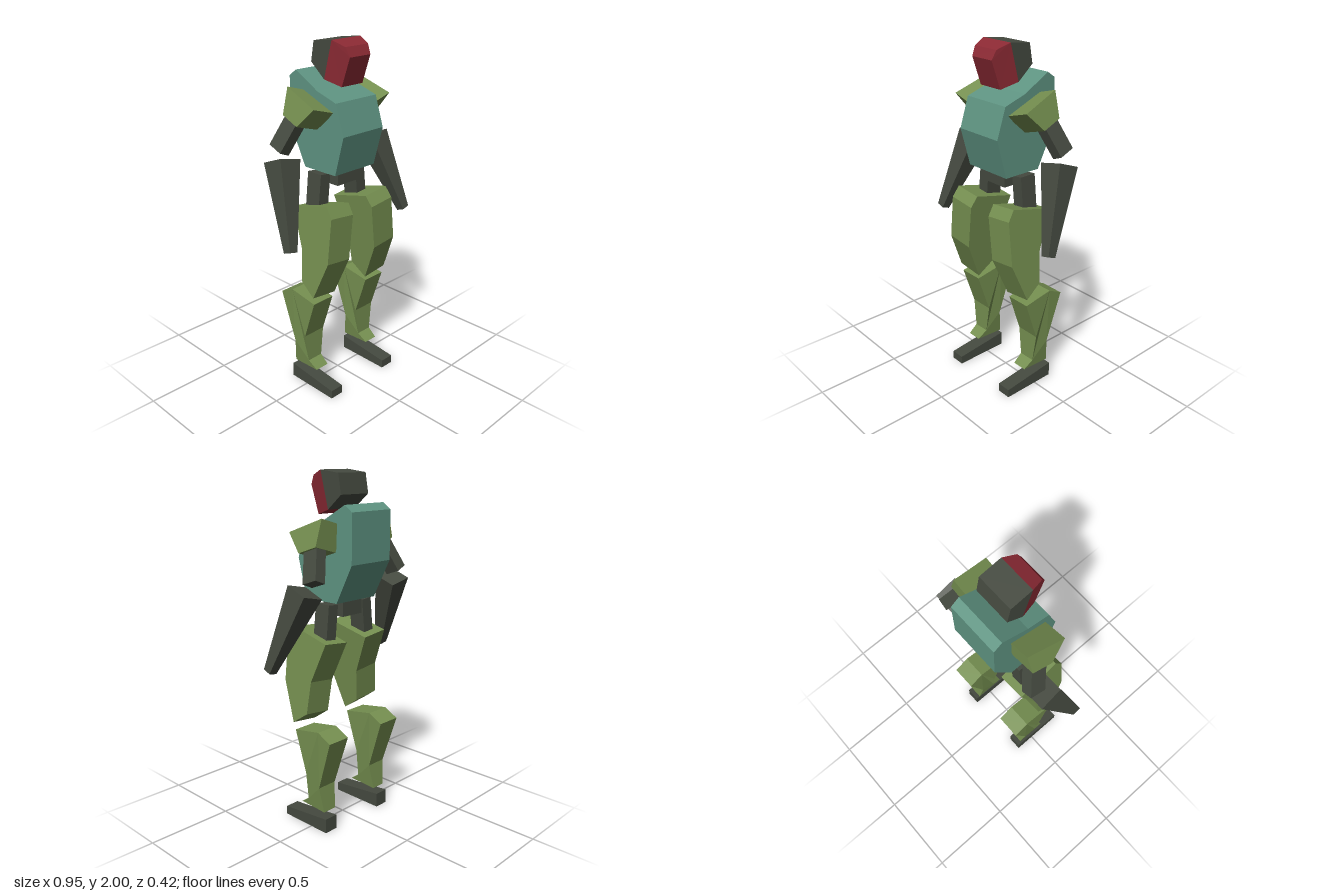
import * as THREE from 'three';

const mat = (name, color) => Object.assign(new THREE.MeshStandardMaterial({ color }), { name });

export function createModel() {
  const model = new THREE.Group();
  const green = mat('olive green', 0x758f50);
  const teal = mat('teal', 0x5f9482);
  const dark = mat('dark grey', 0x454a40);
  const red = mat('deep red', 0x8c2a34);

  function add(name, geometry, material) {
    const mesh = new THREE.Mesh(geometry, material);
    mesh.name = name;
    model.add(mesh);
    return mesh;
  }

  // Side profile of [z, y] points extruded across x; half is a width or a rule (z, y) => width
  function slab(points, half) {
    const shape = new THREE.Shape(points.map(([z, y]) => new THREE.Vector2(z, y)));
    const g = new THREE.ExtrudeGeometry(shape, { depth: 2, bevelEnabled: false });
    g.translate(0, 0, -1).rotateY(-Math.PI / 2);
    const p = g.attributes.position;
    for (let i = 0; i < p.count; i++) {
      const w = typeof half === 'function' ? half(p.getZ(i), p.getY(i)) : half;
      p.setX(i, p.getX(i) * w);
    }
    g.computeVertexNormals();
    return g;
  }

  // Tapered four-sided bar from a low point to a high point, sizes are [width, depth]
  function bar(name, low, high, lowSize, highSize, material) {
    const a = new THREE.Vector3(...low), b = new THREE.Vector3(...high);
    const dir = b.clone().sub(a);
    const g = new THREE.BoxGeometry(1, dir.length(), 1).toNonIndexed();
    const p = g.attributes.position;
    for (let i = 0; i < p.count; i++) {
      const [w, d] = p.getY(i) > 0 ? highSize : lowSize;
      p.setX(i, p.getX(i) * w);
      p.setZ(i, p.getZ(i) * d);
    }
    g.computeVertexNormals();
    const mesh = add(name, g, material);
    mesh.position.copy(a).add(b).multiplyScalar(0.5);
    mesh.quaternion.setFromUnitVectors(new THREE.Vector3(0, 1, 0), dir.normalize());
  }

  // Head: dark back and a red face that narrows forward
  add('headBack', slab([[0.06, 2], [-0.07, 1.985], [-0.09, 1.875], [0.005, 1.795]], 0.105), dark);
  const faceHalf = (z, y) => {
    const forward = z - 0.06 + (2 - y) * 0.268;
    return 0.105 - 0.03 * THREE.MathUtils.clamp(forward / 0.115, 0, 1);
  };
  add('face', slab([[0.06, 2], [0.005, 1.795], [0.105, 1.765], [0.16, 1.92], [0.135, 1.97]], faceHalf), red);

  // Torso and pelvis
  add('torso', slab([[0.135, 1.697], [0, 1.74], [-0.16, 1.83], [-0.21, 1.795],
    [-0.21, 1.525], [-0.1, 1.31], [0.13, 1.31], [0.19, 1.53]], 0.15), teal);
  add('pelvis', new THREE.BoxGeometry(0.15, 0.09, 0.15), dark).position.set(0, 1.268, 0);

  const thighProfile = [[0.15, 0.272], [0.19, 0.213], [0.19, -0.043], [0.1, -0.27],
    [0, -0.2], [-0.015, -0.015], [-0.105, 0.21]];
  const shinProfile = [[0.095, 0.58], [-0.085, 0.61], [-0.175, 0.565], [-0.08, 0.27],
    [-0.1, 0.12], [0.08, 0.13], [0.02, 0.17], [0.015, 0.34]];
  const shinHalf = (z, y) => 0.0425 + 0.029 * THREE.MathUtils.clamp((y - 0.12) / 0.22, 0, 1);

  for (const [side, s] of [['left', 1], ['right', -1]]) {
    // Arm
    const shoulder = add(side + 'ShoulderArmour',
      slab([[0.115, 0.0135], [-0.105, 0.098], [-0.1, -0.048], [0.015, -0.09]], 0.075), green);
    shoulder.position.set(0.215 * s, 1.65, 0);
    shoulder.rotation.z = 0.28 * s;
    bar(side + 'UpperArm', [0.325 * s, 1.44, -0.11], [0.24 * s, 1.64, -0.035],
      [0.067, 0.095], [0.067, 0.095], dark);
    bar(side + 'Forearm', [0.45 * s, 0.957, 0.104], [0.345 * s, 1.395, -0.065],
      [0.05, 0.05], [0.135, 0.135], dark);

    // Leg
    bar(side + 'HipLink', [0.154 * s, 1.08, -0.01], [0.132 * s, 1.295, -0.01],
      [0.07, 0.1], [0.07, 0.1], dark);
    const thigh = add(side + 'Thigh', slab(thighProfile, 0.0825), green);
    thigh.position.set(0.18 * s, 0.885, 0);
    thigh.rotation.z = 0.11 * s;
    add(side + 'Shin', slab(shinProfile, shinHalf), green).position.x = 0.21 * s;
    add(side + 'Foot', slab([[0.21, 0], [0.21, 0.05], [-0.12, 0.085], [-0.12, 0]], 0.042), dark)
      .position.x = 0.218 * s;
  }
  return model;
}
